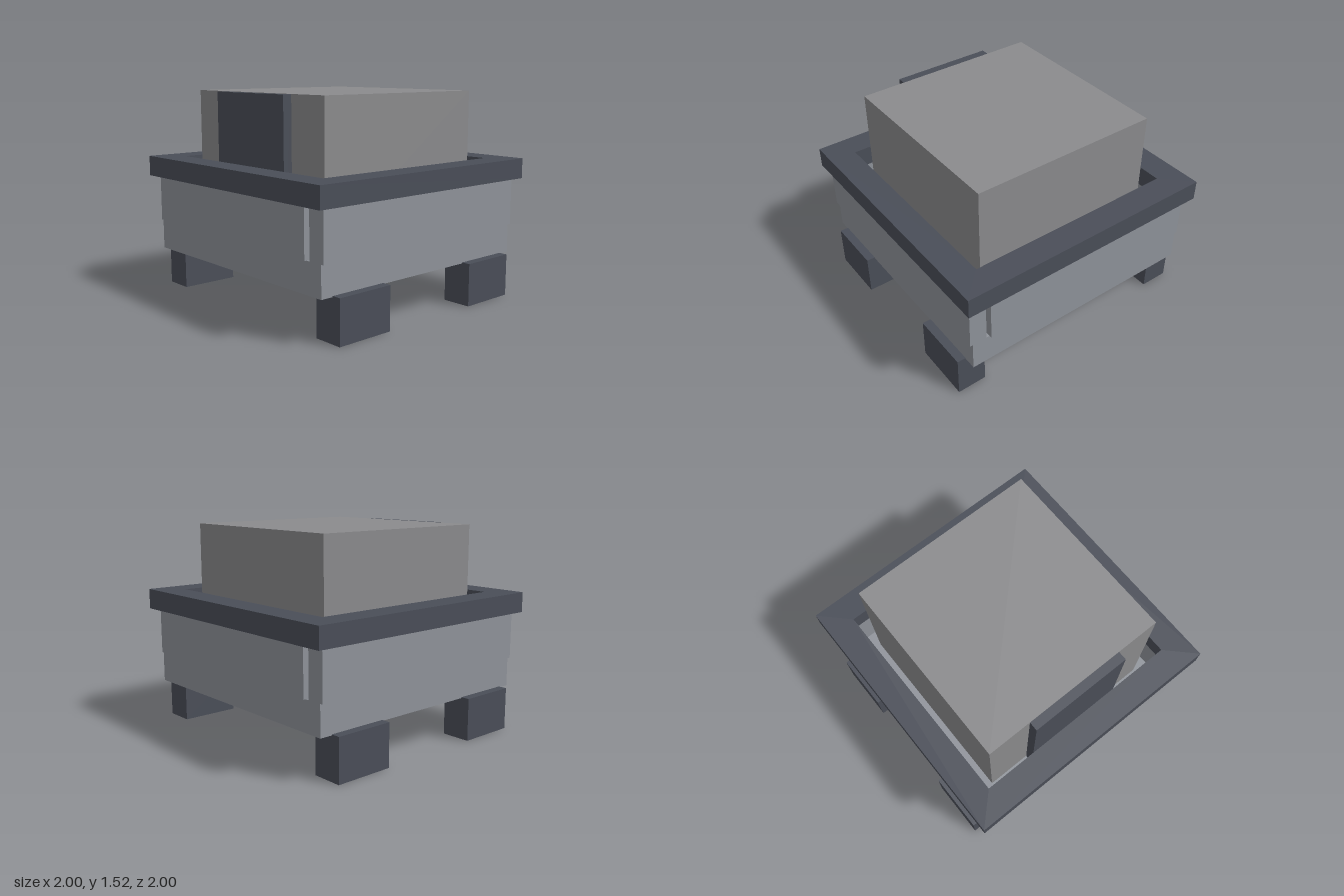
import * as THREE from 'three';

const mat = (color) => new THREE.MeshStandardMaterial({ color });

export function createModel() {
  const model = new THREE.Group();
  const shell = mat(0x8f939a);
  const dark = mat(0x4a4e58);
  const grey = mat(0x8b8b8d);

  // Box given by its lower and upper corners
  const block = (name, material, [x0, y0, z0], [x1, y1, z1], parent = model) => {
    const mesh = new THREE.Mesh(new THREE.BoxGeometry(x1 - x0, y1 - y0, z1 - z0), material);
    mesh.position.set((x0 + x1) / 2, (y0 + y1) / 2, (z0 + z1) / 2);
    mesh.name = name;
    parent.add(mesh);
    return mesh;
  };

  // Base slab
  block('base', shell, [-0.935, 0.305, -0.935], [0.935, 0.525, 0.935]);

  // Four feet
  for (const sx of [1, -1]) {
    for (const sz of [1, -1]) {
      const foot = block('foot', dark, [-0.11, 0, -0.22], [0.11, 0.312, 0.22]);
      foot.position.x = sx * 0.89;
      foot.position.z = sz * 0.622;
    }
  }

  // Wall panels: long ones at the sides, shorter ones front and back, with narrow corner gaps
  for (const s of [1, -1]) {
    const side = block('sidePanel', shell, [-0.065, 0.525, -0.935], [0.065, 0.875, 0.935]);
    side.position.x = s * 0.89;
    const end = block('endPanel', shell, [-0.8, 0.525, -0.065], [0.8, 0.875, 0.065]);
    end.position.z = s * 0.89;
  }

  // Square rim with an open middle
  const square = (target, r) => target.moveTo(-r, -r).lineTo(r, -r).lineTo(r, r).lineTo(-r, r).closePath();
  const rimShape = square(new THREE.Shape(), 1);
  rimShape.holes.push(square(new THREE.Path(), 0.8));
  const rimGeometry = new THREE.ExtrudeGeometry(rimShape, { depth: 0.15, bevelEnabled: false });
  rimGeometry.rotateX(-Math.PI / 2);
  const rim = new THREE.Mesh(rimGeometry, dark);
  rim.position.y = 0.873;
  rim.name = 'rim';
  model.add(rim);

  // Inner block rising through the rim, with a plate on its front
  block('innerBlock', grey, [-0.71, 0.525, -0.71], [0.71, 1.525, 0.71]);
  block('frontPlate', dark, [-0.38, 0.525, 0.71], [0.38, 1.523, 0.777]);

  return model;
}
